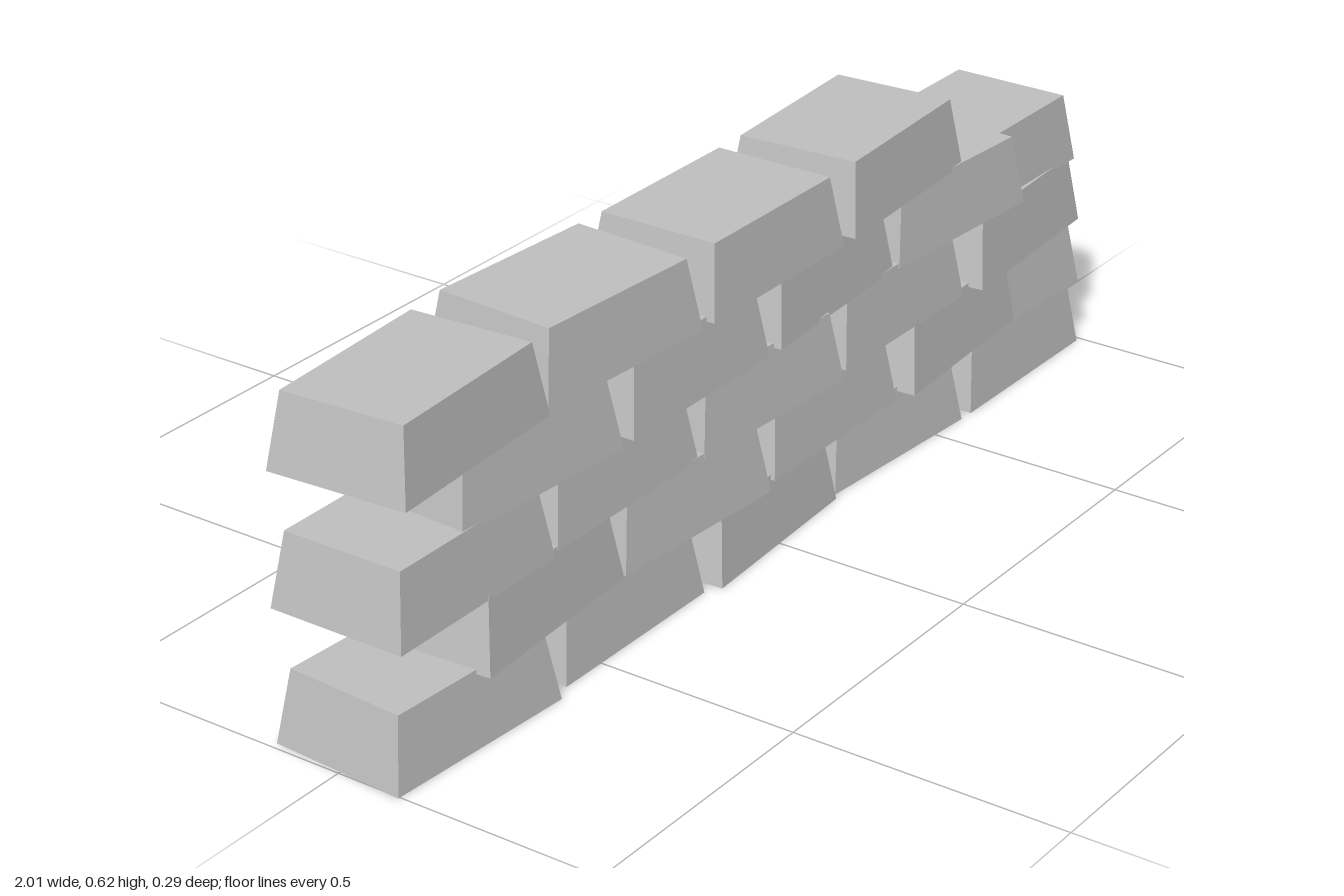
import * as THREE from 'three';

const LENGTH = 0.378, HEIGHT = 0.129, DEPTH = 0.256, TAPER = 0.88;
const COURSE = 0.1215; // courses overlap slightly
const TURN = 0.062; // yaw of the crooked stones

// Each stone: [x, z, turn direction]
const courses = [
  [[-0.807, 0.005, -1], [-0.403, 0, 0], [-0.005, 0.005, 1], [0.4, -0.005, -1], [0.8, 0.007, 0]],
  [[-0.623, 0.005, 1], [-0.225, 0.005, -1], [0.18, 0, 0], [0.583, 0.005, 1], [0.805, -0.005, -1]],
  [[-0.803, 0, 0], [-0.405, -0.01, 0], [-0.007, 0.005, -1], [0.395, 0, 0], [0.803, 0.005, 1]],
  [[-0.623, -0.005, -1], [-0.223, 0.005, 0], [0.18, -0.005, 1], [0.585, 0, -1], [0.803, -0.017, 0]],
  [[-0.805, 0.003, 1], [-0.405, -0.006, -1], [-0.005, 0.006, 0], [0.4, -0.006, 1]],
];

// Box with its top face drawn in, standing on y = 0
function taperedBlock() {
  const geometry = new THREE.BoxGeometry(LENGTH, HEIGHT, DEPTH);
  geometry.translate(0, HEIGHT / 2, 0);
  const p = geometry.attributes.position;
  for (let i = 0; i < p.count; i++) {
    if (p.getY(i) > HEIGHT / 2) {
      p.setX(i, p.getX(i) * TAPER);
      p.setZ(i, p.getZ(i) * TAPER);
    }
  }
  geometry.computeVertexNormals();
  return geometry;
}

export function createModel() {
  const model = new THREE.Group();
  model.name = 'stoneWall';
  const stone = new THREE.MeshStandardMaterial({ color: 0xc0c0c0 });
  stone.name = 'grey stone';
  const block = taperedBlock();

  // Courses laid in running bond
  courses.forEach((stones, row) => {
    const course = new THREE.Group();
    course.name = `course${row + 1}`;
    course.position.y = row * COURSE;
    stones.forEach(([x, z, turn], i) => {
      const mesh = new THREE.Mesh(block, stone);
      mesh.name = `stone${i + 1}`;
      mesh.position.set(x, 0, z);
      mesh.rotation.y = turn * TURN;
      course.add(mesh);
    });
    model.add(course);
  });
  return model;
}
